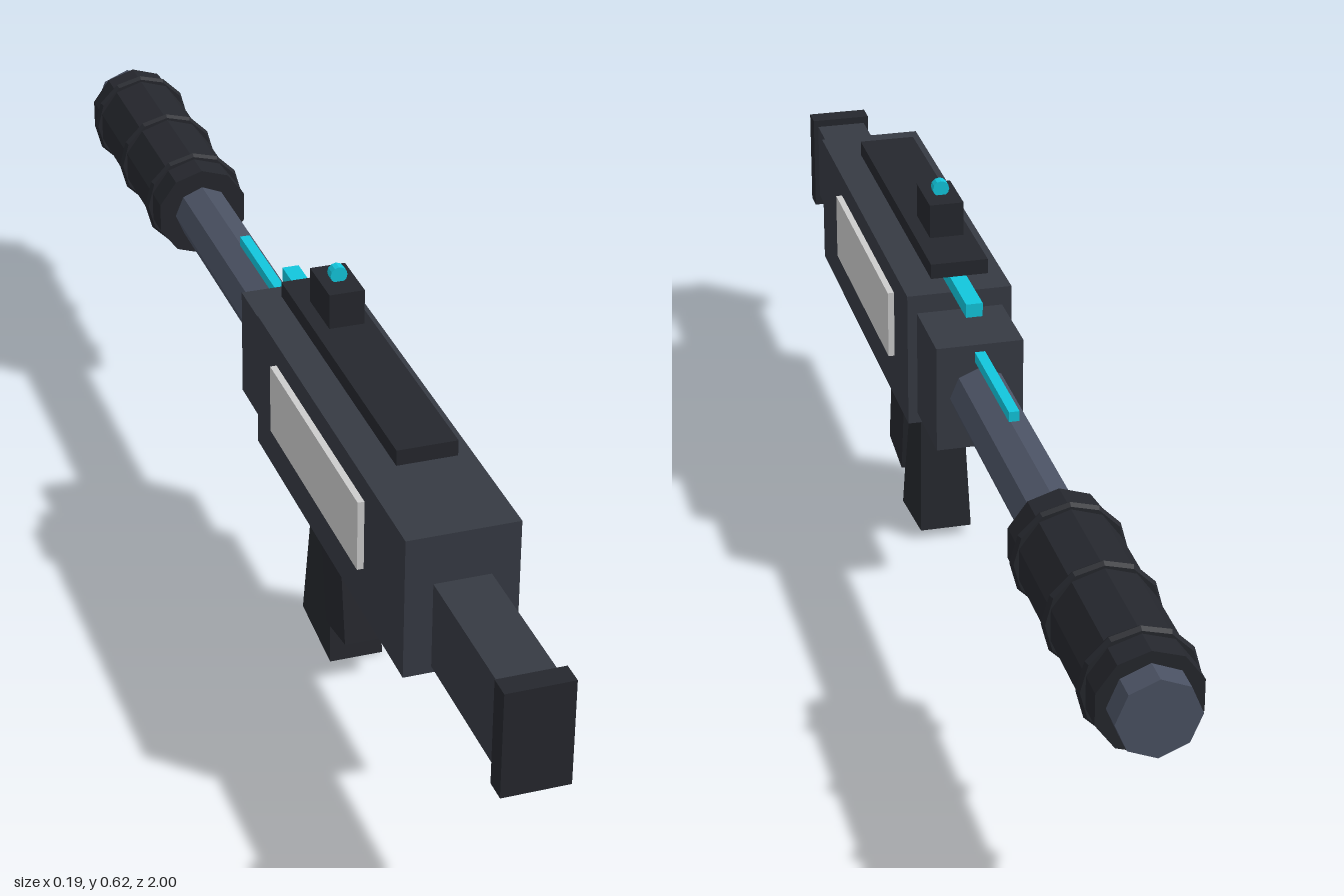
import * as THREE from 'three';

const paint = (color) => new THREE.MeshStandardMaterial({ color, flatShading: true });

export function createModel() {
  const model = new THREE.Group();
  model.name = 'launcher';
  const body = paint(0x363a43);
  const dark = paint(0x25272d);
  const steel = paint(0x4a5162);
  const glow = paint(0x12c6dc);
  const grey = paint(0xcccccc);

  const add = (name, geometry, material) => {
    const mesh = new THREE.Mesh(geometry, material);
    mesh.name = name;
    model.add(mesh);
    return mesh;
  };
  // Box from half width and ranges in y and z
  const block = (name, material, halfX, y0, y1, z0, z1, x = 0) => {
    const mesh = add(name, new THREE.BoxGeometry(halfX * 2, y1 - y0, z1 - z0), material);
    mesh.position.set(x, (y0 + y1) / 2, (z0 + z1) / 2);
    return mesh;
  };
  // Cylinder lying along z
  const rod = (name, material, radius, y, z0, z1, sides) => {
    const geometry = new THREE.CylinderGeometry(radius, radius, z1 - z0, sides).rotateX(Math.PI / 2);
    const mesh = add(name, geometry, material);
    mesh.position.set(0, y, (z0 + z1) / 2);
    return mesh;
  };

  // Receiver and stock
  block('receiver', body, 0.083, 0.268, 0.488, 0.06, 0.72);
  block('frontReceiver', body, 0.068, 0.285, 0.458, -0.07, 0.06);
  block('stock', body, 0.042, 0.278, 0.412, 0.72, 0.968);
  block('buttPlate', dark, 0.05, 0.26, 0.424, 0.966, 1.0);
  for (const side of [-1, 1]) {
    block('sidePanel', grey, 0.006, 0.342, 0.452, 0.155, 0.555, side * 0.087);
  }

  // Barrel, shroud and rings
  const axisY = 0.372;
  rod('barrel', steel, 0.047, axisY, -0.96, -0.07, 8);
  rod('muzzle', steel, 0.059, axisY, -1.0, -0.9, 8);
  rod('shroud', dark, 0.077, axisY, -0.96, -0.52, 10);
  for (const z of [-0.575, -0.74, -0.91]) {
    const ring = add('shroudRing', new THREE.TorusGeometry(0.077, 0.008, 6, 12), dark);
    ring.position.set(0, axisY, z);
  }

  // Glowing strips, top rail and sight
  block('barrelStrip', glow, 0.008, 0.43, 0.446, -0.275, -0.07);
  block('topStrip', glow, 0.013, 0.488, 0.51, -0.035, 0.52);
  block('topRail', dark, 0.045, 0.514, 0.538, 0.06, 0.575);
  block('sightBlock', dark, 0.027, 0.545, 0.6, 0.143, 0.233);
  rod('sightBead', glow, 0.013, 0.61, 0.18, 0.196, 12);

  // Rear grip, leaning forward towards the top
  const grip = add('rearGrip', new THREE.BoxGeometry(0.092, 0.21, 0.092).translate(0, 0.105, 0), dark);
  grip.position.set(0, 0.077, 0.326);
  grip.rotation.x = -0.17;

  // Collar and flared front grip, tilted the other way
  const collar = add('gripCollar', new THREE.BoxGeometry(0.08, 0.035, 0.14), grey);
  collar.position.set(0, 0.256, 0.242);
  collar.rotation.x = 0.12;

  const flare = new THREE.BoxGeometry(0.084, 0.25, 0.134);
  const p = flare.attributes.position;
  for (let i = 0; i < p.count; i++) {
    const top = p.getY(i) > 0;
    const front = p.getZ(i) < 0;
    const y = (top ? 0.24 : 0.008) + (front ? 0.008 : -0.008);
    const z = top ? (front ? 0.184 : 0.262) : (front ? 0.157 : 0.291);
    p.setXYZ(i, p.getX(i) * (top ? 0.82 : 1), y, z);
  }
  flare.computeVertexNormals();
  add('frontGrip', flare, dark);

  return model;
}
